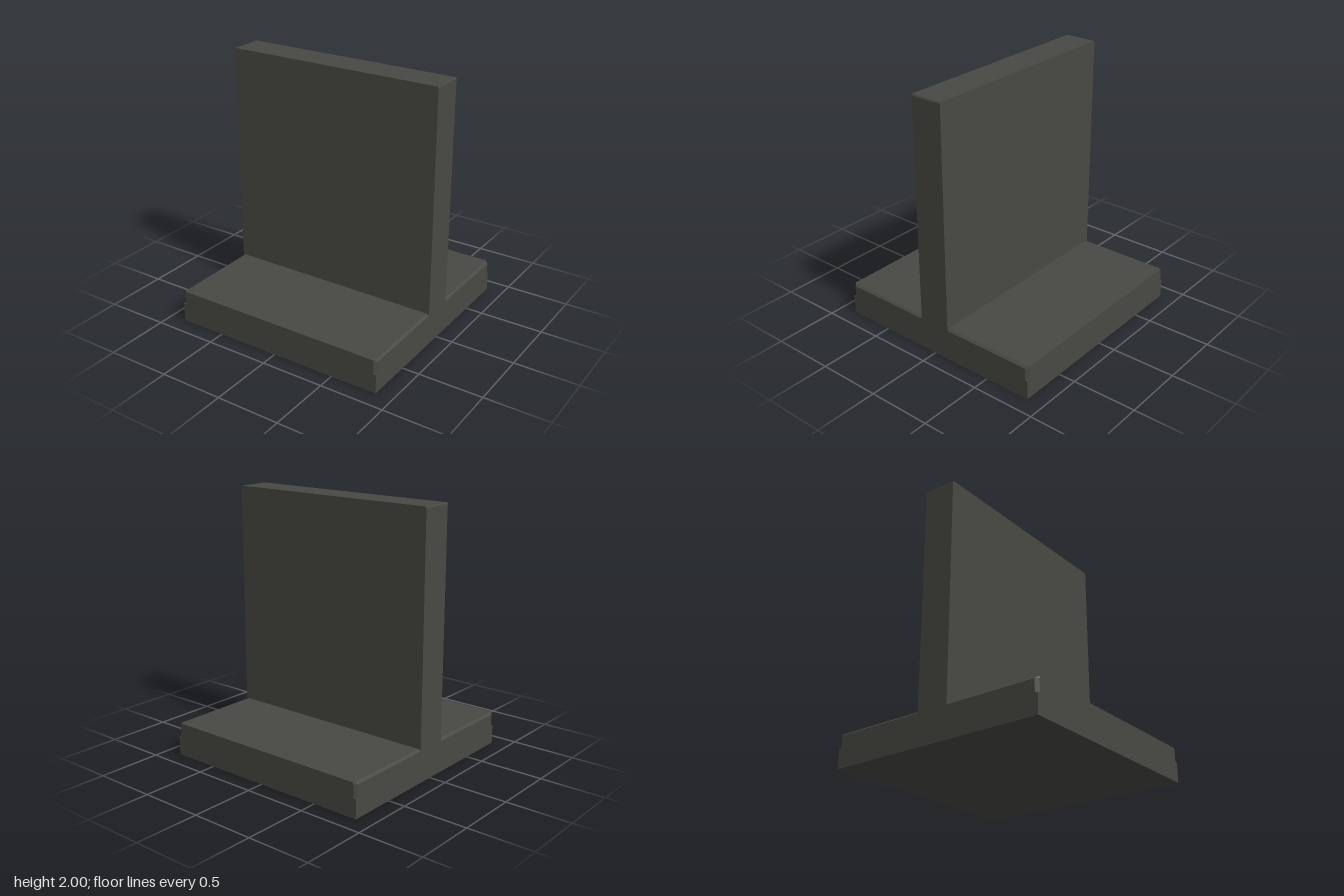
import * as THREE from 'three';

const material = new THREE.MeshStandardMaterial({ color: 0x484843, flatShading: true });

// Rectangle with cut corners at height y, counted counter-clockwise seen from above
function ring(y, hx, hz, cut) {
  return [
    [hx, hz - cut], [hx, cut - hz], [hx - cut, -hz], [cut - hx, -hz],
    [-hx, cut - hz], [-hx, hz - cut], [cut - hx, hz], [hx - cut, hz],
  ].map(([x, z]) => new THREE.Vector3(x, y, z));
}

// Closed solid through a stack of rings, bottom to top
function loft(rings) {
  const points = [];
  const tri = (a, b, c) => points.push(a, b, c);
  const n = rings[0].length;
  for (let r = 0; r < rings.length - 1; r++) {
    for (let i = 0; i < n; i++) {
      const j = (i + 1) % n;
      const [a, b, c, d] = [rings[r][i], rings[r][j], rings[r + 1][j], rings[r + 1][i]];
      tri(a, b, c);
      tri(a, c, d);
    }
  }
  const bottom = rings[0], top = rings[rings.length - 1];
  for (let i = 1; i < n - 1; i++) {
    tri(bottom[0], bottom[i + 1], bottom[i]);
    tri(top[0], top[i], top[i + 1]);
  }
  const geometry = new THREE.BufferGeometry().setFromPoints(points);
  geometry.computeVertexNormals();
  return geometry;
}

export function createModel() {
  const group = new THREE.Group();
  group.name = 'wallOnBase';
  const add = (name, geometry) => {
    const mesh = new THREE.Mesh(geometry, material);
    mesh.name = name;
    group.add(mesh);
    return mesh;
  };

  // Square base: plain below, notched corners and bevelled side edges above
  add('base', loft([
    ring(0, 0.867, 0.867, 0),
    ring(0.15, 0.867, 0.867, 0),
    ring(0.15, 0.867, 0.867, 0.022),
    ring(0.245, 0.867, 0.867, 0.022),
    ring(0.26, 0.85, 0.867, 0.01),
  ]));

  // Upright wall across the middle, with slightly eased top ends
  const wall = add('wall', loft([
    ring(0.24, 0.867, 0.128, 0),
    ring(1.99, 0.867, 0.128, 0),
    ring(2, 0.86, 0.128, 0),
  ]));
  wall.position.z = 0.002;

  return group;
}
